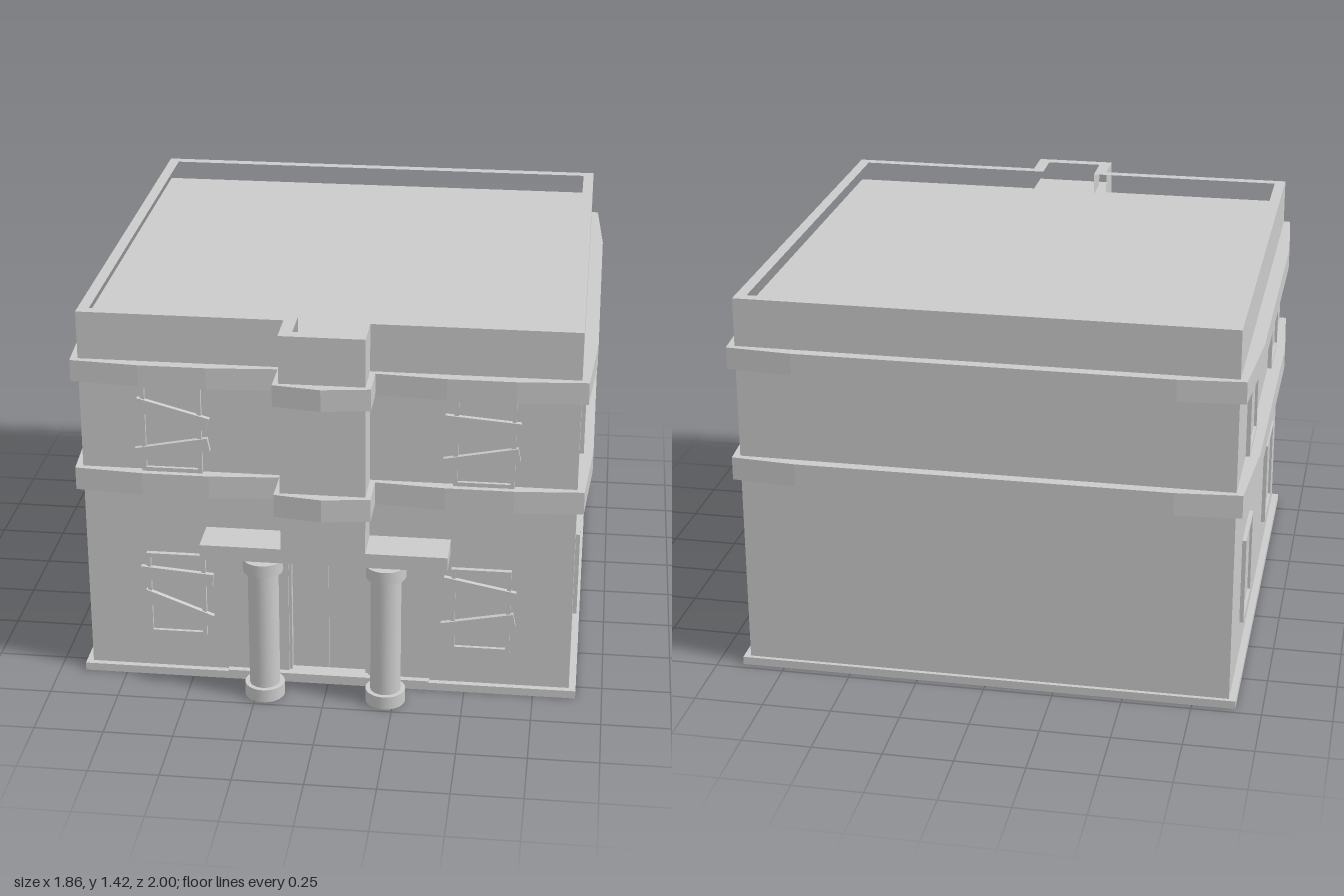
import * as THREE from 'three';

const material = new THREE.MeshStandardMaterial({ color: 0xcccccc, flatShading: true });
const smooth = new THREE.MeshStandardMaterial({ color: 0xcccccc });

function add(parent, name, geometry, x = 0, y = 0, z = 0, mat = material) {
  const mesh = new THREE.Mesh(geometry, mat);
  mesh.name = name;
  mesh.position.set(x, y, z);
  parent.add(mesh);
  return mesh;
}

// Mirrors the +x half of a plan (listed from back to front) into a full outline of [x, -z]
function plan(half) {
  const right = half.map(([x, z]) => new THREE.Vector2(x, -z));
  const left = half.filter(([x]) => x > 0).map(([x, z]) => new THREE.Vector2(-x, -z)).reverse();
  return [...right, ...left];
}

// Extrudes a plan outline upward from y0 to y1
function storey(parent, name, half, y0, y1, holeHalf) {
  const shape = new THREE.Shape(plan(half));
  if (holeHalf) shape.holes.push(new THREE.Path(plan(holeHalf)));
  const geometry = new THREE.ExtrudeGeometry(shape, { depth: y1 - y0, bevelEnabled: false });
  geometry.rotateX(-Math.PI / 2);
  return add(parent, name, geometry, 0, y0, 0);
}

function rect(w, h) {
  return [[-w, -h], [w, -h], [w, h], [-w, h]].map(([x, y]) => new THREE.Vector2(x / 2, y / 2));
}

// Raised frame with a set-back pane, facing +z
function windowUnit(width, height, depth) {
  const group = new THREE.Group();
  group.name = 'window';
  const shape = new THREE.Shape(rect(width, height));
  shape.holes.push(new THREE.Path(rect(width - 0.03, height - 0.03)));
  add(group, 'windowFrame', new THREE.ExtrudeGeometry(shape, { depth, bevelEnabled: false }));
  add(group, 'windowPane', new THREE.BoxGeometry(width - 0.03, height - 0.03, 0.01));
  return group;
}

export function createModel() {
  const model = new THREE.Group();
  model.name = 'building';

  // Walls: door recess at the bottom, projecting bay above the canopy
  const bay = [[0.88, -0.96], [0.88, 0.81], [0.15, 0.81], [0.15, 0.955]];
  const bayInner = [[0.84, -0.92], [0.84, 0.77], [0.105, 0.77], [0.105, 0.912]];
  storey(model, 'groundFloorWalls', [[0.88, -0.96], [0.88, 0.81], [0.145, 0.81], [0.145, 0.765]], 0, 0.5);
  storey(model, 'lintelWalls', [[0.88, -0.96], [0.88, 0.81]], 0.5, 0.61);
  storey(model, 'upperWalls', bay, 0.61, 1.335);
  storey(model, 'parapet', bay, 1.335, 1.42, bayInner);

  // Slightly bowed string courses
  const band = [
    [0.67, -1], [0.905, -0.98], [0.93, -0.61], [0.93, 0.475], [0.905, 0.83],
    [0.66, 0.85], [0.42, 0.85], [0.17, 0.83], [0.17, 0.97], [0, 0.995],
  ];
  storey(model, 'lowerBand', band, 0.745, 0.83);
  storey(model, 'upperBand', band, 1.165, 1.245);

  // Plinth and doorstep
  storey(model, 'plinth', [[0.905, -0.975], [0.905, 0.832]], 0, 0.03);
  add(model, 'doorstep', new THREE.BoxGeometry(0.74, 0.007, 0.06), 0, 0.0325, 0.803);

  // Entrance canopy, columns and double door
  add(model, 'canopy', new THREE.BoxGeometry(0.88, 0.055, 0.155), 0, 0.5825, 0.8775);
  const profile = [[0, 0], [0.072, 0], [0.072, 0.05], [0.055, 0.05], [0.055, 0.507],
    [0.072, 0.507], [0.072, 0.555], [0, 0.555]];
  for (const side of [-1, 1]) {
    const column = new THREE.Group();
    column.name = 'column';
    column.position.set(side * 0.22, 0, 0.915);
    for (let i = 0; i < profile.length - 1; i++) {
      const ring = profile.slice(i, i + 2).map(([r, y]) => new THREE.Vector2(r, y));
      add(column, 'columnSection', new THREE.LatheGeometry(ring, 32), 0, 0, 0, smooth);
    }
    model.add(column);
    add(model, 'doorLeaf', new THREE.BoxGeometry(0.132, 0.45, 0.02), side * 0.0685, 0.265, 0.765);
    add(model, 'doorJamb', new THREE.BoxGeometry(0.01, 0.465, 0.04), side * 0.14, 0.2675, 0.78);
  }
  add(model, 'doorHead', new THREE.BoxGeometry(0.27, 0.01, 0.04), 0, 0.495, 0.78);

  // Windows on the front and both sides, two floors
  for (const [y, h] of [[0.335, 0.33], [0.9975, 0.335]]) {
    for (const side of [-1, 1]) {
      const front = windowUnit(0.215, h, 0.018);
      front.position.set(side * 0.553, y, 0.81);
      model.add(front);
      for (const z of [0.372, -0.508]) {
        const unit = windowUnit(0.265, h, 0.015);
        unit.position.set(side * 0.88, y, z);
        unit.rotation.y = side * Math.PI / 2;
        model.add(unit);
      }
    }
  }

  // Crooked boards over the front windows: x, y, tilt in degrees
  const boards = [
    [-0.55, 1.055, -15], [-0.55, 0.92, 11], [0.545, 1.067, -4.5], [0.545, 0.937, 11],
    [-0.55, 0.413, -4.5], [-0.55, 0.283, -21], [0.545, 0.42, -11], [0.545, 0.283, 11],
  ];
  for (const [x, y, tilt] of boards) {
    const board = add(model, 'board', new THREE.BoxGeometry(0.265, 0.05, 0.018), x, y, 0.826);
    board.rotation.z = THREE.MathUtils.degToRad(tilt);
  }
  return model;
}
